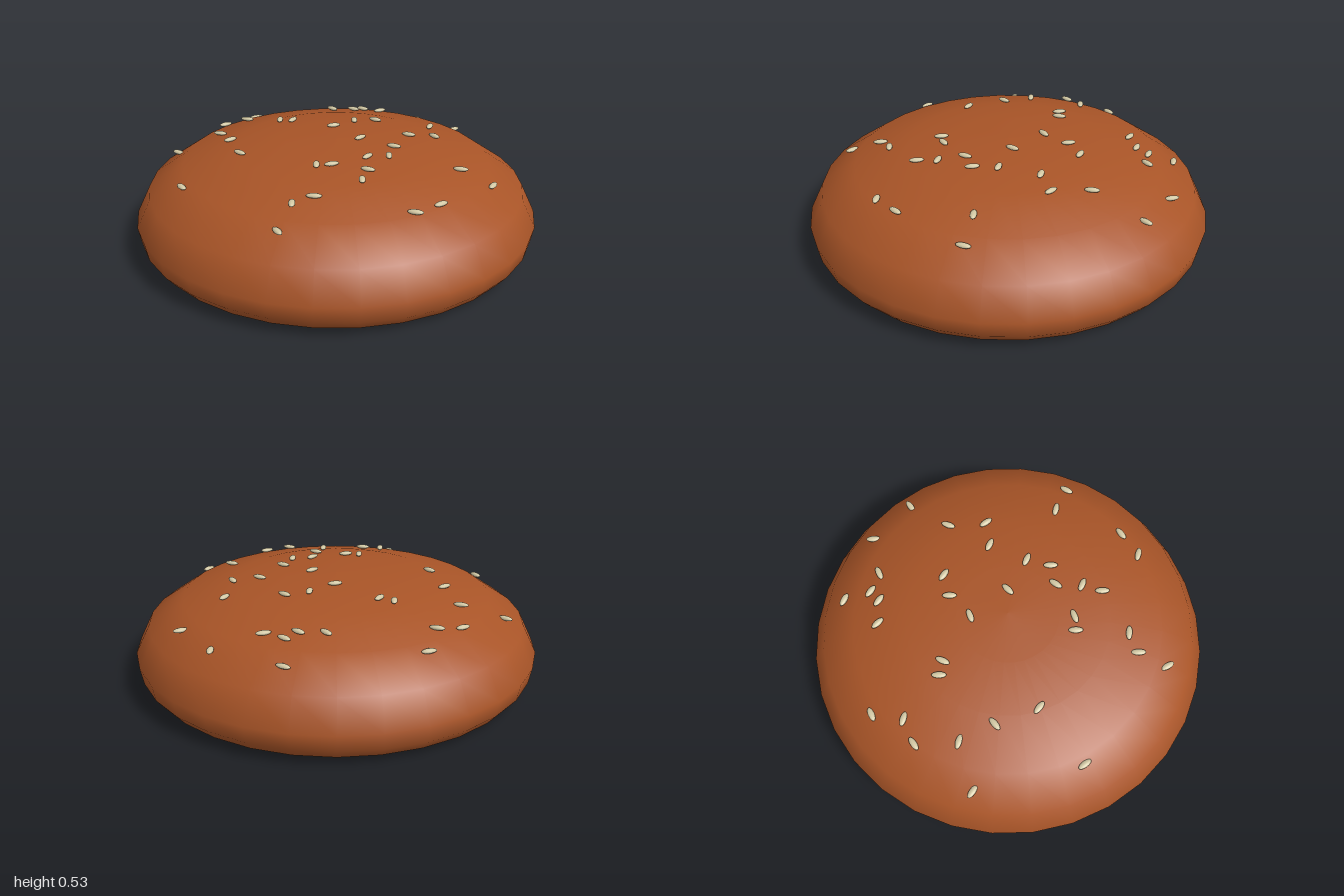
import * as THREE from 'three';

const mat = (name, color) => {
  const m = new THREE.MeshStandardMaterial({ color });
  m.name = name;
  return m;
};

// bun outline as [radius, height], bottom to top
const PROFILE = [
  [0.88, 0], [0.945, 0.03], [0.985, 0.08], [1, 0.16], [0.93, 0.3],
  [0.76, 0.415], [0.5, 0.48], [0.25, 0.505], [0, 0.512],
];
const SIDES = 32;

// height of the crust at a given radius
function crustHeight(r) {
  for (let i = PROFILE.length - 1; i > 3; i--) {
    const [r0, y0] = PROFILE[i], [r1, y1] = PROFILE[i - 1];
    if (r <= r1) return y0 + (y1 - y0) * (r - r0) / (r1 - r0);
  }
  return 0.16;
}

// seeds as x, z, turn in degrees
const SEEDS = [
  .06, -.83, 20, .41, -.73, 80, .09, -.69, 30, .19, -.66, -30, .04, -.64, 30,
  -.08, -.63, 40, -.52, -.61, -30, .61, -.56, -40, -.54, -.45, 10, -.65, -.39, -40,
  -.33, -.3, 85, -.26, -.29, -70, .07, -.29, 85, .18, -.33, 30, .47, -.34, -75,
  .49, -.15, 50, .36, -.12, 20, -.03, -.18, -25, -.63, -.18, 10, -.84, -.1, 30,
  -.54, -.02, -45, .12, -.01, -50, .29, .07, 20, -.45, .18, 35, .27, .19, 85,
  .17, .22, -60, .61, .2, 10, .76, .25, -65, -.06, .33, 85, .01, .32, -25,
  .18, .35, 20, .16, .45, 85, -.68, .41, 50, .51, .54, -40, .4, .63, 10,
  -.04, .59, 0, -.13, .64, 85, -.17, .79, 55,
];

export function createModel() {
  const group = new THREE.Group();
  group.name = 'bunTop';
  const crust = mat('crust brown', 0xa85427);
  const edge = mat('toasted edge', 0x98692f);
  const crumb = mat('crumb cream', 0xc4b896);
  const seedMat = mat('seed cream', 0xd2c8a4);

  // domed crust, with the lowest ring in the toasted edge colour
  const domeGeo = new THREE.LatheGeometry(PROFILE.map(p => new THREE.Vector2(...p)), SIDES);
  const rings = PROFILE.length - 1;
  for (let i = 0; i < SIDES; i++) {
    const start = i * rings * 6;
    domeGeo.addGroup(start, 6, 1);
    domeGeo.addGroup(start + 6, (rings - 1) * 6, 0);
  }
  const dome = new THREE.Mesh(domeGeo, [crust, edge]);
  dome.name = 'crustDome';
  group.add(dome);

  // flat cut underside, turned to share the corners of the dome
  const baseGeo = new THREE.CircleGeometry(PROFILE[0][0], SIDES).rotateX(Math.PI / 2);
  const base = new THREE.Mesh(baseGeo, crumb);
  base.name = 'cutUnderside';
  group.add(base);

  // scattered seeds lying on the crust
  const seeds = new THREE.Group();
  seeds.name = 'seeds';
  const seedGeo = new THREE.SphereGeometry(1, 10, 8).rotateZ(Math.PI / 2).scale(0.036, 0.011, 0.016);
  for (let i = 0; i < SEEDS.length; i += 3) {
    const [x, z, turn] = SEEDS.slice(i, i + 3);
    const seed = new THREE.Mesh(seedGeo, seedMat);
    seed.name = 'seed';
    seed.position.set(x, crustHeight(Math.hypot(x, z)) + 0.011, z);
    seed.rotation.y = -THREE.MathUtils.degToRad(turn);
    seeds.add(seed);
  }
  group.add(seeds);
  return group;
}
